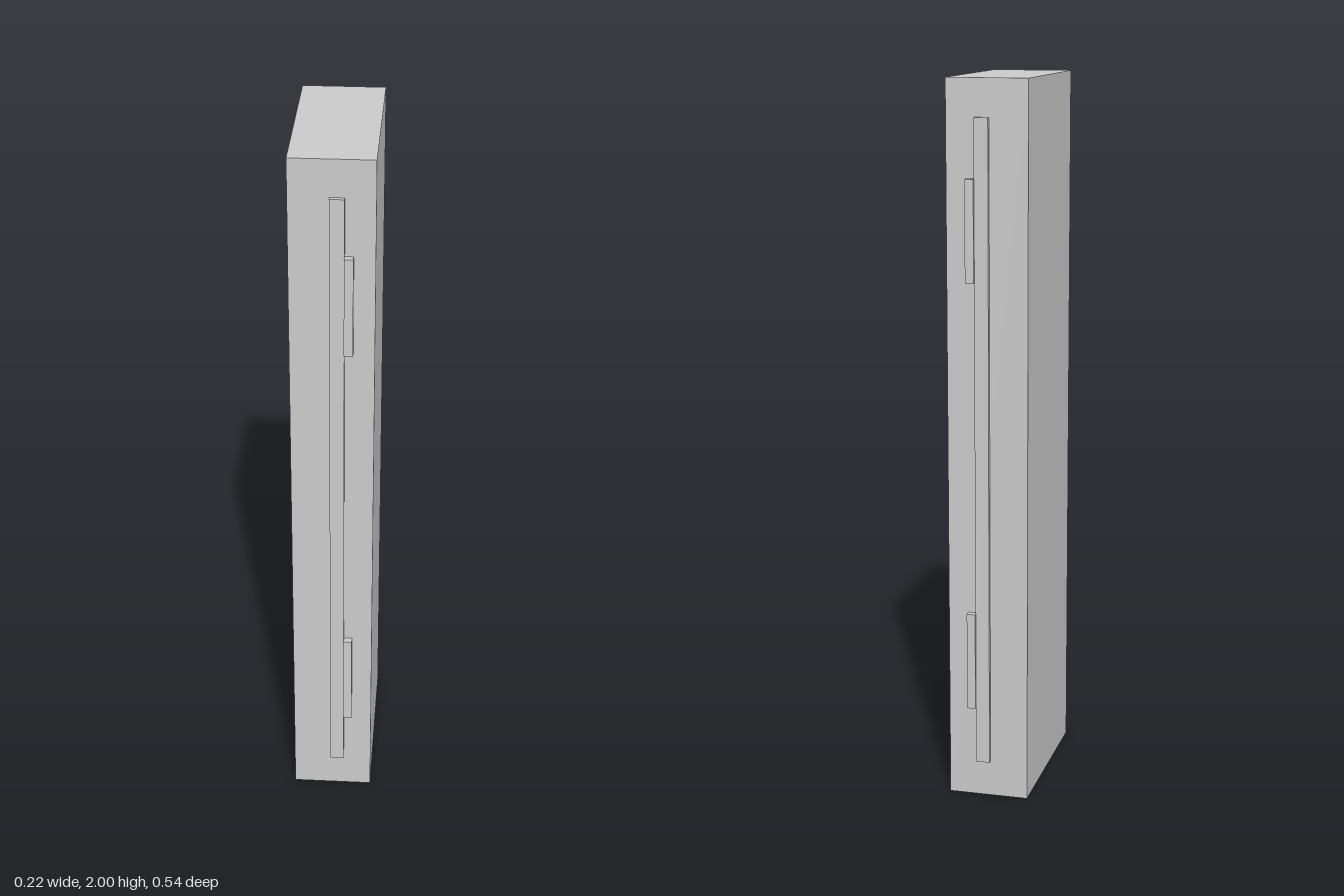
import * as THREE from 'three';

export function createModel() {
  const model = new THREE.Group();
  const material = new THREE.MeshStandardMaterial({ color: 0xcccccc, flatShading: true });

  // Box given by its min and max corners
  function addBox(name, [x0, y0, z0], [x1, y1, z1]) {
    const geometry = new THREE.BoxGeometry(x1 - x0, y1 - y0, z1 - z0);
    const mesh = new THREE.Mesh(geometry, material);
    mesh.position.set((x0 + x1) / 2, (y0 + y1) / 2, (z0 + z1) / 2);
    mesh.name = name;
    model.add(mesh);
  }

  // Tall slab
  const depth = 0.251;
  addBox('body', [-0.112, 0, -depth], [0.112, 2, depth]);

  // Raised strip with two tabs beside it, on both narrow faces
  for (const [side, s] of [['front', 1], ['back', -1]]) {
    const span = (out) => (s > 0 ? [depth - 0.01, depth + out] : [-depth - out, -depth + 0.01]);
    const [a0, a1] = span(0.012);
    const [b0, b1] = span(0.02);
    addBox(side + 'Strip', [-0.006, 0.102, a0], [0.033, 1.898, a1]);
    for (const [level, y] of [['Lower', 0.401], ['Upper', 1.6]]) {
      addBox(side + level + 'Tab', [0.032, y - 0.138, b0], [0.056, y + 0.138, b1]);
    }
  }
  return model;
}
